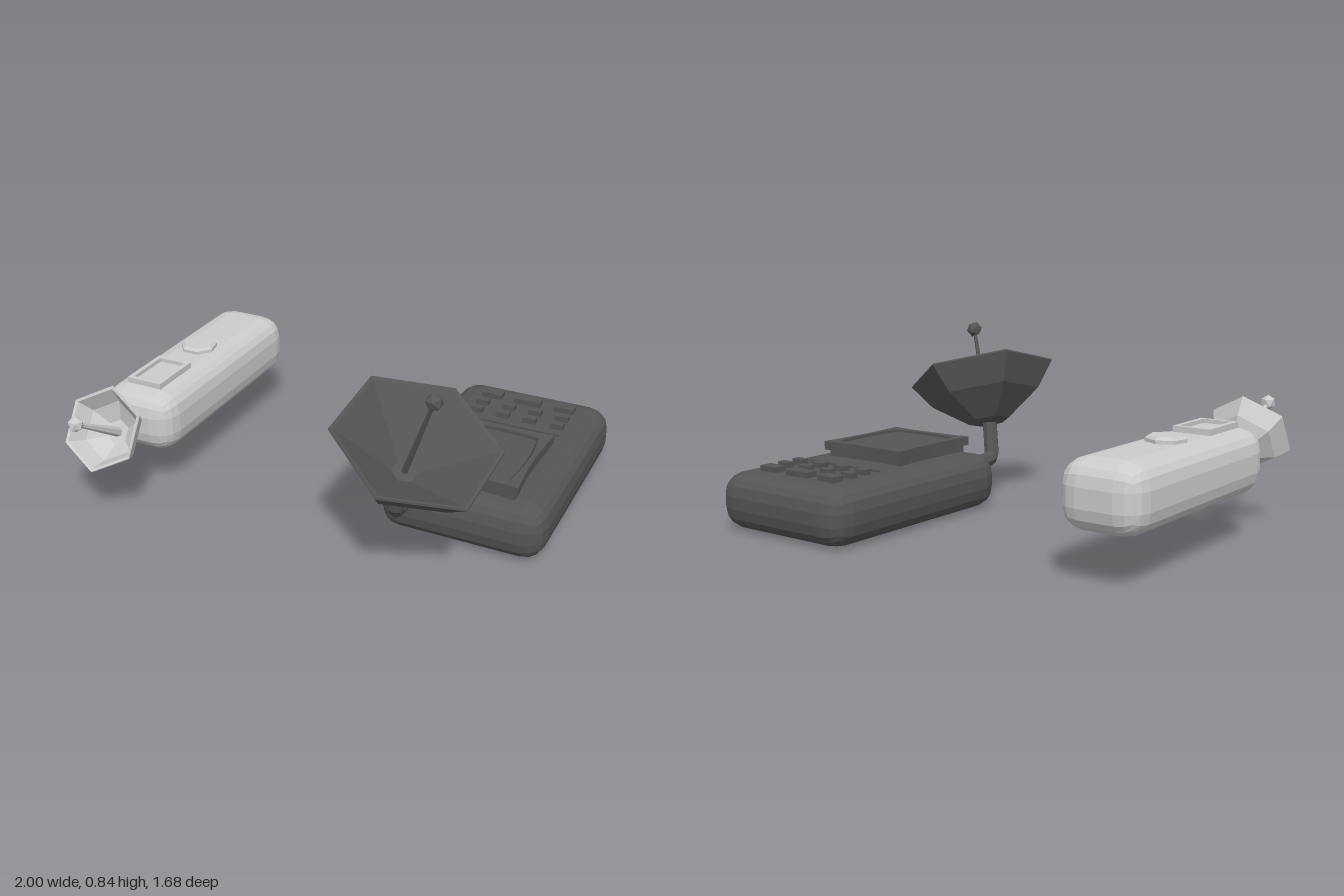
import * as THREE from 'three';
import { RoundedBoxGeometry } from 'three/addons/geometries/RoundedBoxGeometry.js';

const V = (x, y, z) => new THREE.Vector3(x, y, z);

export function createModel() {
  const root = new THREE.Group();
  const dark = new THREE.MeshStandardMaterial({ color: 0x555555, flatShading: true });
  dark.name = 'dark grey';
  const light = new THREE.MeshStandardMaterial({ color: 0xcccccc, flatShading: true });
  light.name = 'light grey';

  function add(parent, name, geo, mat, x = 0, y = 0, z = 0) {
    const m = new THREE.Mesh(geo, mat);
    m.name = name;
    m.position.set(x, y, z);
    parent.add(m);
    return m;
  }
  const box = (w, h, d) => new THREE.BoxGeometry(w, h, d);

  // six-sided dish with feed rod and faceted tip; origin is the rim centre
  function addDish(parent, mat, name, center, axis, corner, profile, rod) {
    const g = new THREE.Group();
    g.name = name;
    const n = axis.clone().normalize();
    const u = corner.clone().addScaledVector(n, -corner.dot(n)).normalize();
    g.quaternion.setFromRotationMatrix(new THREE.Matrix4().makeBasis(n.clone().cross(u), n, u));
    g.position.copy(center);
    const pts = profile.map(([r, y]) => new THREE.Vector2(r, y));
    add(g, 'dishBowl', new THREE.LatheGeometry(pts, 6), mat);
    const len = rod.top - rod.bottom;
    add(g, 'feedRod', new THREE.CylinderGeometry(rod.r, rod.base, len, 6), mat, 0, (rod.top + rod.bottom) / 2, 0);
    add(g, 'feedTip', new THREE.IcosahedronGeometry(rod.ball, 0), mat, 0, rod.top, 0);
    parent.add(g);
  }

  // screen outline with gently bowed sides (bow < 0 is concave)
  function bowedOutline(hw, hd, bow, Type) {
    const s = new Type();
    s.moveTo(-hw, -hd);
    s.quadraticCurveTo(0, -hd - bow, hw, -hd);
    s.quadraticCurveTo(hw + bow, 0, hw, hd);
    s.quadraticCurveTo(0, hd + bow, -hw, hd);
    s.quadraticCurveTo(-hw - bow, 0, -hw, -hd);
    return s;
  }
  function slab(shape, h) {
    const g = new THREE.ExtrudeGeometry(shape, { depth: h, bevelEnabled: false, curveSegments: 6 });
    return g.rotateX(-Math.PI / 2);
  }

  // ---- dark console ----
  const con = new THREE.Group();
  con.name = 'darkConsole';
  root.add(con);
  add(con, 'consoleBody', new RoundedBoxGeometry(0.73, 0.255, 1.09, 2, 0.1), dark, 0.635, 0.1275, -0.295);

  // raised screen: narrow foot, wider lip, bulging glass
  add(con, 'screenFoot', slab(bowedOutline(0.215, 0.225, -0.02, THREE.Shape), 0.045), dark, 0.64, 0.245, -0.06);
  const lip = bowedOutline(0.23, 0.245, -0.025, THREE.Shape);
  lip.holes.push(bowedOutline(0.18, 0.19, 0.03, THREE.Path));
  add(con, 'screenLip', slab(lip, 0.04), dark, 0.64, 0.285, -0.06);
  add(con, 'screenGlass', slab(bowedOutline(0.17, 0.18, 0.028, THREE.Shape), 0.03), dark, 0.64, 0.285, -0.06);

  // keypad
  [[0.46, 0.095], [0.633, 0.125], [0.808, 0.095]].forEach(([x, w]) =>
    add(con, 'wideKey', box(w, 0.035, 0.058), dark, x, 0.262, -0.68));
  for (const z of [-0.587, -0.503])
    for (let i = 0; i < 4; i++)
      add(con, 'smallKey', box(0.06, 0.035, 0.038), dark, 0.442 + i * 0.128, 0.262, z);
  add(con, 'dividerBar', box(0.44, 0.02, 0.016), dark, 0.635, 0.254, -0.43);

  // bent neck
  const neck = new THREE.CatmullRomCurve3(
    [V(0.41, 0.19, 0.18), V(0.41, 0.19, 0.33), V(0.415, 0.21, 0.37), V(0.445, 0.36, 0.395)], false, 'catmullrom', 0.2);
  add(con, 'dishNeck', new THREE.TubeGeometry(neck, 12, 0.036, 8), dark);

  addDish(con, dark, 'largeDish', V(0.535, 0.595, 0.445), V(0.354, 0.907, 0.218), V(0.02, 0.075, -0.345),
    [[0, -0.26], [0.1, -0.25], [0.265, -0.13], [0.354, -0.008], [0.35, 0], [0.335, -0.004], [0.055, -0.2], [0, -0.2]],
    { bottom: -0.21, top: 0.226, r: 0.008, base: 0.014, ball: 0.038 });

  // ---- light handset ----
  const hand = new THREE.Group();
  hand.name = 'lightHandset';
  root.add(hand);
  add(hand, 'handsetBody', new RoundedBoxGeometry(0.36, 0.28, 1.08, 2, 0.1), light, -0.82, 0.34, -0.11);

  // framed display window
  const frame = bowedOutline(0.085, 0.125, 0, THREE.Shape);
  frame.holes.push(bowedOutline(0.064, 0.104, 0, THREE.Path));
  add(hand, 'displayFrame', slab(frame, 0.035), light, -0.82, 0.47, 0.205);
  add(hand, 'displayGlass', box(0.13, 0.02, 0.21), light, -0.82, 0.478, 0.205);

  // seven-sided knob
  const knob = new THREE.LatheGeometry(
    [[0.085, 0], [0.085, 0.024], [0.072, 0.035], [0, 0.035]].map(([r, y]) => new THREE.Vector2(r, y)), 7);
  knob.rotateY(Math.PI);
  add(hand, 'knob', knob, light, -0.82, 0.47, -0.123);

  // neck and small dish
  const stub = new THREE.CylinderGeometry(0.036, 0.036, 0.14, 8).rotateX(Math.PI / 2);
  add(hand, 'dishNeck', stub, light, -0.82, 0.335, 0.46);
  addDish(hand, light, 'smallDish', V(-0.82, 0.42, 0.65), V(0, 0.53, 0.85), V(0, 0.85, -0.53),
    [[0, -0.155], [0.065, -0.148], [0.148, -0.085], [0.189, -0.005], [0.187, 0], [0.174, -0.003],
      [0.132, -0.075], [0.055, -0.125], [0, -0.128]],
    { bottom: -0.135, top: 0.19, r: 0.009, base: 0.022, ball: 0.035 });

  return root;
}
